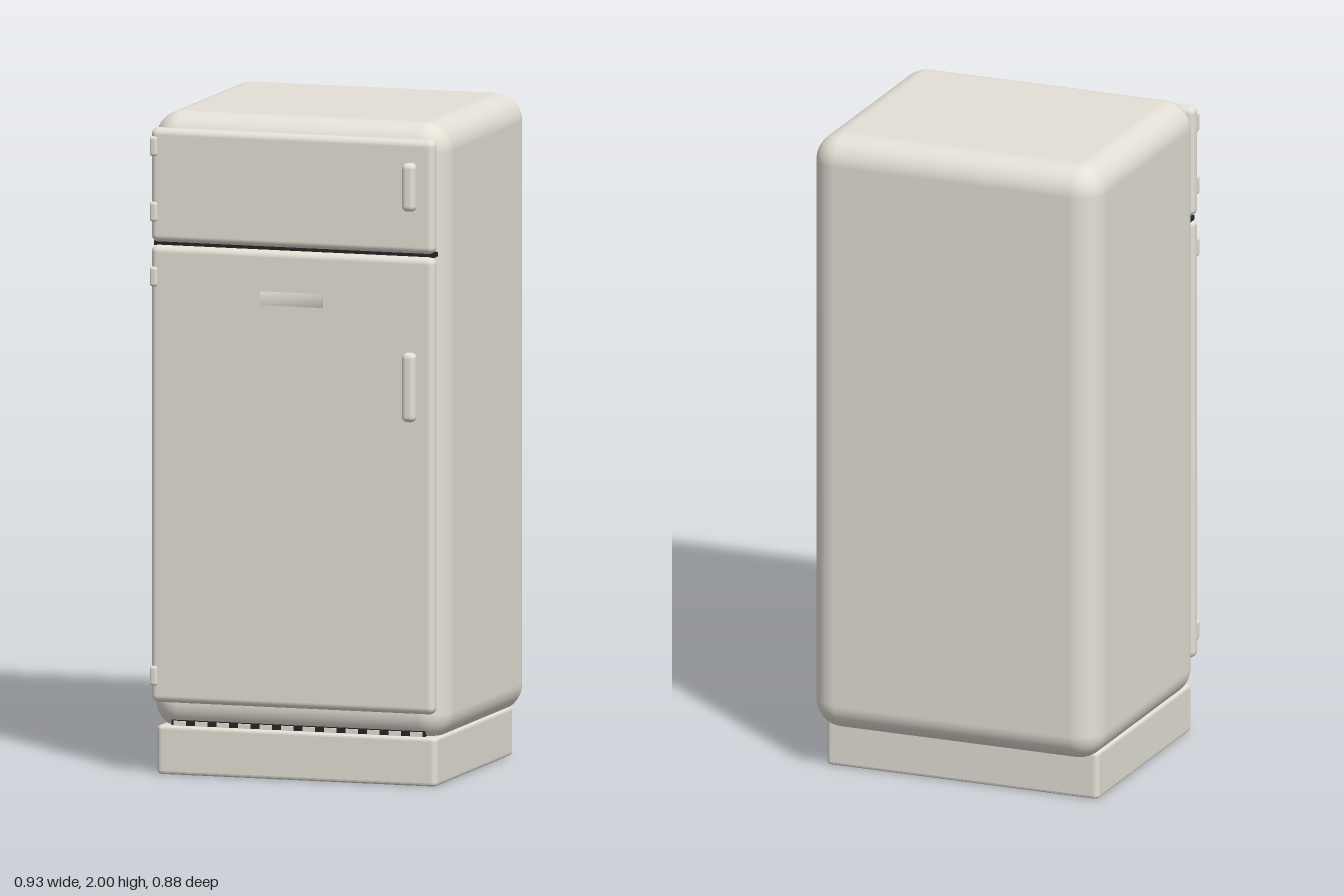
import * as THREE from 'three';
import { RoundedBoxGeometry } from 'three/addons/geometries/RoundedBoxGeometry.js';
import { mergeVertices } from 'three/addons/utils/BufferGeometryUtils.js';

export function createModel() {
  const root = new THREE.Group();
  root.name = 'refrigerator';
  const enamel = new THREE.MeshStandardMaterial({ color: 0xe4e0d6 });
  enamel.name = 'cream enamel';
  const rubber = new THREE.MeshStandardMaterial({ color: 0x262626 });
  rubber.name = 'dark rubber';

  const add = (name, geometry, material) => {
    const mesh = new THREE.Mesh(geometry, material);
    mesh.name = name;
    root.add(mesh);
    return mesh;
  };
  // Box given by its limits on each axis; a radius rounds its edges
  const block = (name, [x0, x1], [y0, y1], [z0, z1], radius = 0, material = enamel, segments = 4) => {
    const size = [x1 - x0, y1 - y0, z1 - z0];
    const geometry = radius
      ? new RoundedBoxGeometry(...size, segments, radius)
      : new THREE.BoxGeometry(...size);
    const mesh = add(name, geometry, material);
    mesh.position.set((x0 + x1) / 2, (y0 + y1) / 2, (z0 + z1) / 2);
    return mesh;
  };

  // Cabinet
  block('cabinet', [-0.467, 0.467], [0.13, 2], [-0.44, 0.366], 0.085, enamel, 8);

  // Doors and the dark seal in the gap between them
  block('freezerDoor', [-0.448, 0.448], [1.615, 1.96], [0.365, 0.411], 0.021);
  block('mainDoor', [-0.448, 0.448], [0.222, 1.605], [0.365, 0.411], 0.021);
  block('doorGapSeal', [-0.442, 0.442], [1.603, 1.617], [0.352, 0.39], 0, rubber);

  // Handles
  block('freezerHandle', [0.353, 0.396], [1.745, 1.892], [0.4, 0.44], 0.017);
  block('mainHandle', [0.353, 0.396], [1.108, 1.318], [0.4, 0.44], 0.017);

  // Hinges on the model's right edge
  for (const y of [1.905, 1.707, 1.511, 0.303]) {
    block('hinge', [-0.448, -0.424], [y - 0.03, y + 0.03], [0.385, 0.42], 0.009);
  }

  // Badge plate, shaded smoothly across its corners
  const plate = new THREE.BoxGeometry(0.198, 0.042, 0.008);
  plate.deleteAttribute('normal');
  plate.deleteAttribute('uv');
  const smoothPlate = mergeVertices(plate);
  smoothPlate.computeVertexNormals();
  add('badgePlate', smoothPlate, enamel).position.set(0, 1.461, 0.412);

  // Hollow plinth with rounded corners, open underneath
  const rect = (path, x, z0, z1, r) => {
    path.absarc(x - r, z0 + r, r, -Math.PI / 2, 0);
    path.absarc(x - r, z1 - r, r, 0, Math.PI / 2);
    path.absarc(-x + r, z1 - r, r, Math.PI / 2, Math.PI);
    path.absarc(-x + r, z0 + r, r, Math.PI, Math.PI * 1.5);
    path.closePath();
    return path;
  };
  const bevel = 0.01;
  const outline = rect(new THREE.Shape(), 0.442 - bevel, -0.371 + bevel, 0.362 - bevel, 0.008);
  outline.holes.push(rect(new THREE.Path(), 0.385 + bevel, -0.315 - bevel, 0.305 + bevel, 0.004));
  const plinth = new THREE.ExtrudeGeometry(outline, {
    depth: 0.147 - 2 * bevel, bevelThickness: bevel, bevelSize: bevel, bevelSegments: 3, curveSegments: 4,
  });
  plinth.rotateX(-Math.PI / 2);
  plinth.translate(0, bevel, 0);
  add('plinth', plinth, enamel);

  // Vent: dark panel inside the plinth, slot strip and its ribs
  block('ventPanel', [-0.384, 0.384], [0.02, 0.14], [0.3, 0.318], 0, rubber);
  block('ventStrip', [-0.4, 0.4], [0.14, 0.164], [0.3, 0.349], 0, rubber);
  for (let i = 0; i < 12; i++) {
    const x = -0.374 + i * 0.068;
    block('ventRib', [x - 0.019, x + 0.019], [0.143, 0.161], [0.31, 0.354]);
  }

  return root;
}
